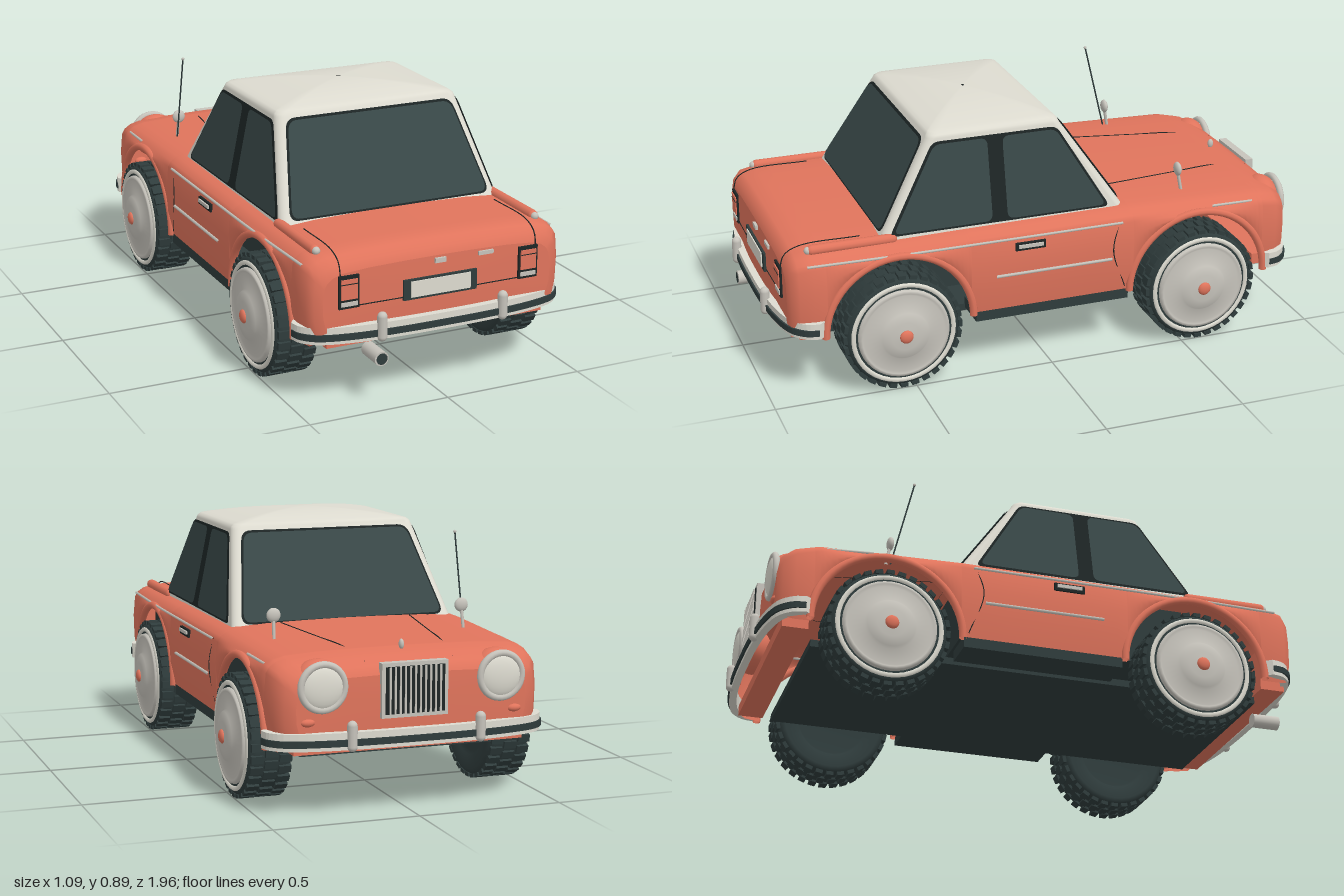
import * as THREE from 'three';
import { mergeGeometries } from 'three/addons/utils/BufferGeometryUtils.js';

const mat = (name, color, side = THREE.FrontSide) => {
  const m = new THREE.MeshStandardMaterial({ color, side });
  m.name = name;
  return m;
};
const V = (x, y, z) => new THREE.Vector3(x, y, z);

export function createModel() {
  const car = new THREE.Group();
  car.name = 'car';
  const paint = mat('coral paint', 0xe0745c, THREE.DoubleSide);
  const cream = mat('cream', 0xdddbd0);
  const chrome = mat('chrome', 0xc6c3bb);
  const dark = mat('dark rubber', 0x2f3c3c);
  const glass = mat('glass', 0x384747, THREE.DoubleSide);
  const black = mat('black trim', 0x1d2525, THREE.DoubleSide);

  const add = (name, geo, m, x = 0, y = 0, z = 0, parent = car) => {
    const mesh = new THREE.Mesh(geo, m);
    mesh.name = name;
    mesh.position.set(x, y, z);
    parent.add(mesh);
    return mesh;
  };
  const box = (name, m, w, h, d, x, y, z, p) => add(name, new THREE.BoxGeometry(w, h, d), m, x, y, z, p);
  const rod = (name, m, pts, r, seg = 24) =>
    add(name, new THREE.TubeGeometry(new THREE.CatmullRomCurve3(pts), seg, r, 6), m);
  const surface = (rows, tris) => {
    const g = new THREE.BufferGeometry();
    g.setAttribute('position', new THREE.Float32BufferAttribute(rows.flat(2), 3));
    g.setIndex(tris);
    g.computeVertexNormals();
    return g;
  };

  // Body stations: z, half width, top height, bottom height
  const stations = [
    [0.925, 0.42, 0.475, 0.27], [0.915, 0.447, 0.502, 0.24], [0.89, 0.466, 0.523, 0.22],
    [0.84, 0.474, 0.531, 0.215], [0.3, 0.48, 0.536, 0.215], [-0.3, 0.48, 0.54, 0.215],
    [-0.8, 0.474, 0.527, 0.215], [-0.88, 0.46, 0.512, 0.22], [-0.92, 0.435, 0.49, 0.24], [-0.935, 0.4, 0.46, 0.27],
  ];
  const wheelZ = [0.543, -0.567], archR = 0.255;
  const station = (z) => {
    const i = Math.max(1, stations.findIndex((s) => s[0] <= z + 1e-6));
    const a = stations[i - 1], b = stations[i], k = (z - a[0]) / (b[0] - a[0]);
    return a.map((v, j) => v + (b[j] - v) * k);
  };
  const section = (z) => {
    let [, w, t, b] = station(z);
    for (const c of wheelZ) if (Math.abs(z - c) < archR) b = Math.max(b, 0.22 + Math.sqrt(archR ** 2 - (z - c) ** 2));
    const s = t - 0.055;
    const half = [[0.965, b], [0.995, b + (s - b) * 0.35], [1, b + (s - b) * 0.7], [0.985, s],
      [0.96, t - 0.036], [0.91, t - 0.02], [0.83, t - 0.01], [0.6, t - 0.003], [0.3, t]];
    const right = half.map(([f, y]) => [f * w, y, z]);
    return [...right, [0, t + 0.001, z], ...right.map(([x, y]) => [-x, y, z]).reverse()];
  };
  const zs = stations.map((s) => s[0]);
  for (const c of wheelZ) for (let i = 0; i <= 24; i++) zs.push(c + archR * Math.cos((i / 24) * Math.PI));
  for (let z = -0.25; z < 0.28; z += 0.1) zs.push(z);
  zs.sort((a, b) => b - a);
  const rows = zs.map(section), n = rows[0].length, tris = [];
  for (let i = 0; i < rows.length - 1; i++) for (let j = 0; j < n - 1; j++) {
    const a = i * n + j, b = a + n;
    tris.push(a, b, a + 1, a + 1, b, b + 1);
  }
  add('bodyShell', surface(rows, tris), paint);
  // Nose and tail panels
  for (const [name, row, dir] of [['tailPanel', rows[0], 1], ['nosePanel', rows[rows.length - 1], -1]]) {
    const fan = [];
    for (let j = 1; j <= n; j++) {
      const k = (j % n) + 1;
      fan.push(0, ...(dir > 0 ? [j, k] : [k, j]));
    }
    add(name, surface([[[0, 0.37, row[0][2] + dir * 0.004]], row], fan), paint);
    box('lowerValance', paint, 0.8, 0.04, 0.09, 0, 0.23, dir * 0.865);
  }
  // Floor, sills and inner tub
  box('floorPan', dark, 0.68, 0.025, 1.62, 0, 0.19, 0.01);
  box('innerTub', dark, 0.68, 0.22, 0.83, 0, 0.39, 0.135);
  for (const s of [-1, 1]) box('sill', dark, 0.13, 0.04, 0.57, s * 0.4, 0.21, -0.015);

  // Cabin and domed roof as stacked rounded rectangles
  const ring = (y, hx, z0, z1, r) => {
    const out = [];
    for (const [sx, sz, a0] of [[1, 1, 0], [-1, 1, 1], [-1, -1, 2], [1, -1, 3]])
      for (let i = 0; i <= 5; i++) {
        const a = ((a0 + i / 5) * Math.PI) / 2;
        out.push([sx * (hx - r) + r * Math.cos(a), y, (sz > 0 ? z1 - r : z0 + r) + r * Math.sin(a)]);
      }
    return out;
  };
  const levels = [ring(0.5, 0.415, -0.317, 0.6, 0.03), ring(0.525, 0.41, -0.3, 0.585, 0.03),
    ring(0.84, 0.345, -0.085, 0.4, 0.03), ring(0.85, 0.341, -0.081, 0.396, 0.03)];
  for (const s of [0.98, 0.9, 0.75, 0.6, 0.4, 0.2, 0.02])
    levels.push(ring(0.857 + 0.035 * (1 - s * s), 0.337 * s, 0.157 - 0.235 * s, 0.157 + 0.235 * s, 0.03 * s));
  const cabTris = [], m = levels[0].length;
  for (let i = 0; i < levels.length - 1; i++) for (let j = 0; j < m; j++) {
    const a = i * m + j, b = i * m + ((j + 1) % m);
    cabTris.push(a, a + m, b, b, a + m, b + m);
  }
  add('cabinAndRoof', surface(levels, cabTris), cream);

  // Windows: rounded flat shapes laid on the sloping cabin faces
  const rounded = (pts, r) => {
    const p = pts.map(([x, y]) => new THREE.Vector2(x, y)), s = new THREE.Shape();
    p.forEach((c, i) => {
      const toward = (q) => c.clone().add(q.clone().sub(c).setLength(r));
      const a = toward(p[(i + p.length - 1) % p.length]), b = toward(p[(i + 1) % p.length]);
      i ? s.lineTo(a.x, a.y) : s.moveTo(a.x, a.y);
      s.quadraticCurveTo(c.x, c.y, b.x, b.y);
    });
    return s;
  };
  const pane = (name, mt, pts, r, place) => {
    const g = new THREE.ShapeGeometry(rounded(pts, r), 6), p = g.attributes.position;
    for (let i = 0; i < p.count; i++) p.setXYZ(i, ...place(p.getX(i), p.getY(i)));
    g.computeVertexNormals();
    add(name, g, mt);
  };
  const rise = (y) => (y - 0.525) / 0.315;
  const trap = (a, b, y0, y1) => [[-a, y0], [a, y0], [b, y1], [-b, y1]];
  const rear = (d) => (x, y) => [x, y, 0.585 - 0.185 * rise(y) + d];
  const front = (d) => (x, y) => [x, y, -0.3 + 0.215 * rise(y) - d];
  for (const [name, place] of [['rearWindow', rear], ['windscreen', front]]) {
    pane(name + 'Seal', black, trap(0.38, 0.315, 0.535, 0.838), 0.035, place(0.004));
    pane(name, glass, trap(0.372, 0.309, 0.542, 0.831), 0.032, place(0.008));
  }
  for (const s of [-1, 1]) {
    const side = (d) => (z, y) => [s * (0.41 - 0.065 * rise(y) + d), y, z];
    pane('sideWindowSeal', black, [[0.56, 0.532], [0.385, 0.832], [-0.065, 0.832], [-0.245, 0.532]], 0.025, side(0.004));
    pane('rearSideWindow', glass, [[0.545, 0.54], [0.38, 0.824], [0.19, 0.824], [0.19, 0.54]], 0.025, side(0.008));
    pane('doorWindow', glass, [[0.135, 0.54], [0.135, 0.824], [-0.06, 0.824], [-0.23, 0.54]], 0.025, side(0.008));
  }

  // Wheels
  const lathe = (pts) => new THREE.LatheGeometry(pts.map(([r, y]) => new THREE.Vector2(r, y)), 40).rotateZ(-Math.PI / 2);
  const tyre = lathe([[0, -0.055], [0.12, -0.055], [0.13, -0.07], [0.18, -0.077], [0.196, -0.068], [0.203, -0.05],
    [0.203, 0.05], [0.196, 0.068], [0.183, 0.077], [0.16, 0.073], [0, 0.07]]);
  const whitewall = lathe([[0.186, 0.075], [0.182, 0.0805], [0.172, 0.0805], [0.169, 0.073]]);
  const disc = lathe([[0.163, 0.07], [0.16, 0.084], [0.15, 0.086], [0.142, 0.08], [0.09, 0.088], [0.083, 0.098], [0.05, 0.105], [0, 0.108]]);
  const blocks = [];
  for (let i = 0; i < 32; i++) for (const [x, w, o] of [[-0.049, 0.042, 0], [0, 0.044, 0.5], [0.049, 0.042, 0]])
    blocks.push(new THREE.BoxGeometry(w, 0.014, 0.026).translate(x, 0.204, 0).rotateX(((i + o) / 16) * Math.PI));
  const tread = mergeGeometries(blocks);
  for (const z of wheelZ) for (const s of [-1, 1]) {
    const w = new THREE.Group();
    w.name = 'wheel';
    w.position.set(s * 0.4275, 0.212, z);
    if (s < 0) w.rotation.y = Math.PI;
    car.add(w);
    add('tyre', tyre, dark, 0, 0, 0, w);
    add('tread', tread, dark, 0, 0, 0, w);
    add('whitewall', whitewall, cream, 0, 0, 0, w);
    add('wheelDisc', disc, chrome, 0, 0, 0, w);
    add('hubCap', new THREE.SphereGeometry(0.024, 16, 10).scale(0.5, 1, 1), paint, 0.107, 0, 0, w);
    // Wheel arch lip
    add('archLip', new THREE.TorusGeometry(archR + 0.008, 0.014, 8, 32, Math.PI).rotateY(Math.PI / 2), paint, s * 0.468, 0.22, z);
  }

  // Bumpers, one layer at a time
  const bumperLayer = (y0, y1, grow) => {
    const half = [[0.488, 0.83], [0.475, 0.875], [0.42, 0.92], [0.3, 0.947], [0.15, 0.958]];
    const pts = [...half, [0, 0.96], ...half.map(([x, z]) => [-x, z]).reverse()];
    const outer = new THREE.SplineCurve(pts.map(([x, z]) => new THREE.Vector2(x * (1 + grow), z + grow))).getPoints(40);
    const inner = outer.map((p) => new THREE.Vector2(p.x * 0.96, p.y - 0.025)).reverse();
    return new THREE.ExtrudeGeometry(new THREE.Shape([...outer, ...inner]), { depth: y1 - y0, bevelEnabled: false })
      .rotateX(Math.PI / 2).translate(0, y1, 0);
  };
  for (const end of [0, 1]) {
    const b = new THREE.Group();
    b.name = end ? 'frontBumper' : 'rearBumper';
    b.rotation.y = end * Math.PI;
    b.position.z = end * -0.015;
    car.add(b);
    add('bumperBar', bumperLayer(0.23, 0.287, 0), cream, 0, 0, 0, b);
    add('bumperStrip', bumperLayer(0.243, 0.265, 0.006), dark, 0, 0, 0, b);
    for (const s of [-1, 1]) add('overrider', new THREE.CapsuleGeometry(0.017, 0.068, 6, 12), chrome, s * 0.223, 0.275, 0.957, b);
  }

  // Tail details
  box('plateHolder', dark, 0.27, 0.07, 0.012, 0, 0.375, 0.93);
  box('blankPlate', cream, 0.22, 0.055, 0.008, 0, 0.376, 0.936);
  box('trunkButton', chrome, 0.04, 0.016, 0.012, 0, 0.46, 0.929);
  box('trunkBadge', chrome, 0.055, 0.013, 0.01, 0.17, 0.46, 0.928);
  const pipe = new THREE.CylinderGeometry(0.025, 0.025, 0.1, 20).rotateX(Math.PI / 2);
  add('exhaust', pipe, chrome, -0.225, 0.163, 0.91);
  add('exhaustBore', new THREE.CircleGeometry(0.02, 20), dark, -0.225, 0.163, 0.962);
  rod('trunkSeamLow', black, [V(-0.355, 0.35, 0.926), V(0, 0.35, 0.928), V(0.355, 0.35, 0.926)], 0.002);

  // Grille and bonnet ornament
  box('grilleFrame', chrome, 0.23, 0.18, 0.03, 0, 0.41, -0.938);
  box('grilleOpening', black, 0.205, 0.155, 0.008, 0, 0.41, -0.952);
  for (let i = -5; i <= 5; i++) box('grilleBar', chrome, 0.006, 0.155, 0.008, i * 0.0175, 0.41, -0.956);
  add('bonnetOrnament', new THREE.SphereGeometry(0.011, 12, 8).scale(0.8, 1.6, 1), chrome, 0, 0.537, -0.83);

  // Paired details
  for (const s of [-1, 1]) {
    box('tailLightFrame', black, 0.072, 0.112, 0.014, s * 0.33, 0.402, 0.926);
    box('tailLightLens', paint, 0.058, 0.068, 0.008, s * 0.33, 0.412, 0.933);
    box('tailLightBar', black, 0.058, 0.003, 0.008, s * 0.33, 0.43, 0.934);
    box('reverseLight', chrome, 0.058, 0.014, 0.008, s * 0.33, 0.362, 0.933);
    rod('trunkSeam', black, [V(s * 0.355, 0.35, 0.926), V(s * 0.36, 0.47, 0.926), V(s * 0.36, 0.503, 0.912), V(s * 0.36, 0.527, 0.86), V(s * 0.36, 0.531, 0.65)], 0.002);

    add('tailFin', new THREE.CapsuleGeometry(0.018, 0.28, 6, 12).rotateX(Math.PI / 2), paint, s * 0.405, 0.524, 0.69);
    add('finTip', new THREE.SphereGeometry(0.014, 12, 8), chrome, s * 0.405, 0.524, 0.842);

    const pod = new THREE.SphereGeometry(0.09, 28, 16).scale(1, 0.95, 0.75);
    add('headlightPod', pod, paint, s * 0.31, 0.432, -0.885);
    add('headlightRim', new THREE.TorusGeometry(0.074, 0.012, 10, 32), chrome, s * 0.31, 0.432, -0.936);
    add('headlightLens', new THREE.SphereGeometry(0.074, 24, 12).scale(1, 1, 0.3), cream, s * 0.31, 0.432, -0.933);
    add('indicator', new THREE.SphereGeometry(0.02, 12, 8).scale(1.3, 0.7, 0.8), paint, s * 0.36, 0.32, -0.93);

    rod('bonnetSeam', black, [-0.9, -0.75, -0.6, -0.45, -0.31].map((z) => V(s * (0.11 - z * 0.17 - 0.11 + (z + 0.9) * 0.32), station(z)[2] - 0.001, z)), 0.002);
    rod('doorSeam', black, [V(s * 0.47, 0.49, -0.26), V(s * 0.48, 0.39, -0.235), V(s * 0.468, 0.24, -0.285)], 0.002);
    rod('shoulderStrip', chrome, [V(s * 0.461, 0.488, 0.86), V(s * 0.472, 0.488, 0.5), V(s * 0.474, 0.488, 0.1), V(s * 0.474, 0.488, -0.27)], 0.005);
    rod('doorStrip', chrome, [V(s * 0.48, 0.357, 0.2), V(s * 0.48, 0.357, -0.23)], 0.006);
    rod('fenderStrip', chrome, [V(s * 0.46, 0.496, -0.62), V(s * 0.452, 0.49, -0.78)], 0.005);
    box('handleRecess', black, 0.01, 0.028, 0.11, s * 0.478, 0.458, 0.075);
    box('doorHandle', chrome, 0.02, 0.012, 0.09, s * 0.479, 0.46, 0.075);

    // Wing mirrors
    rod('mirrorStalk', chrome, [V(s * 0.345, 0.52, -0.55), V(s * 0.342, 0.6, -0.535)], 0.006);
    add('mirror', new THREE.SphereGeometry(0.025, 16, 10).scale(1, 1, 0.5), chrome, s * 0.342, 0.605, -0.535);
  }
  // Aerial
  rod('aerial', dark, [V(-0.35, 0.52, -0.535), V(-0.35, 0.85, -0.455)], 0.003);
  add('aerialTip', new THREE.SphereGeometry(0.006, 8, 6), chrome, -0.35, 0.85, -0.455);
  return car;
}
